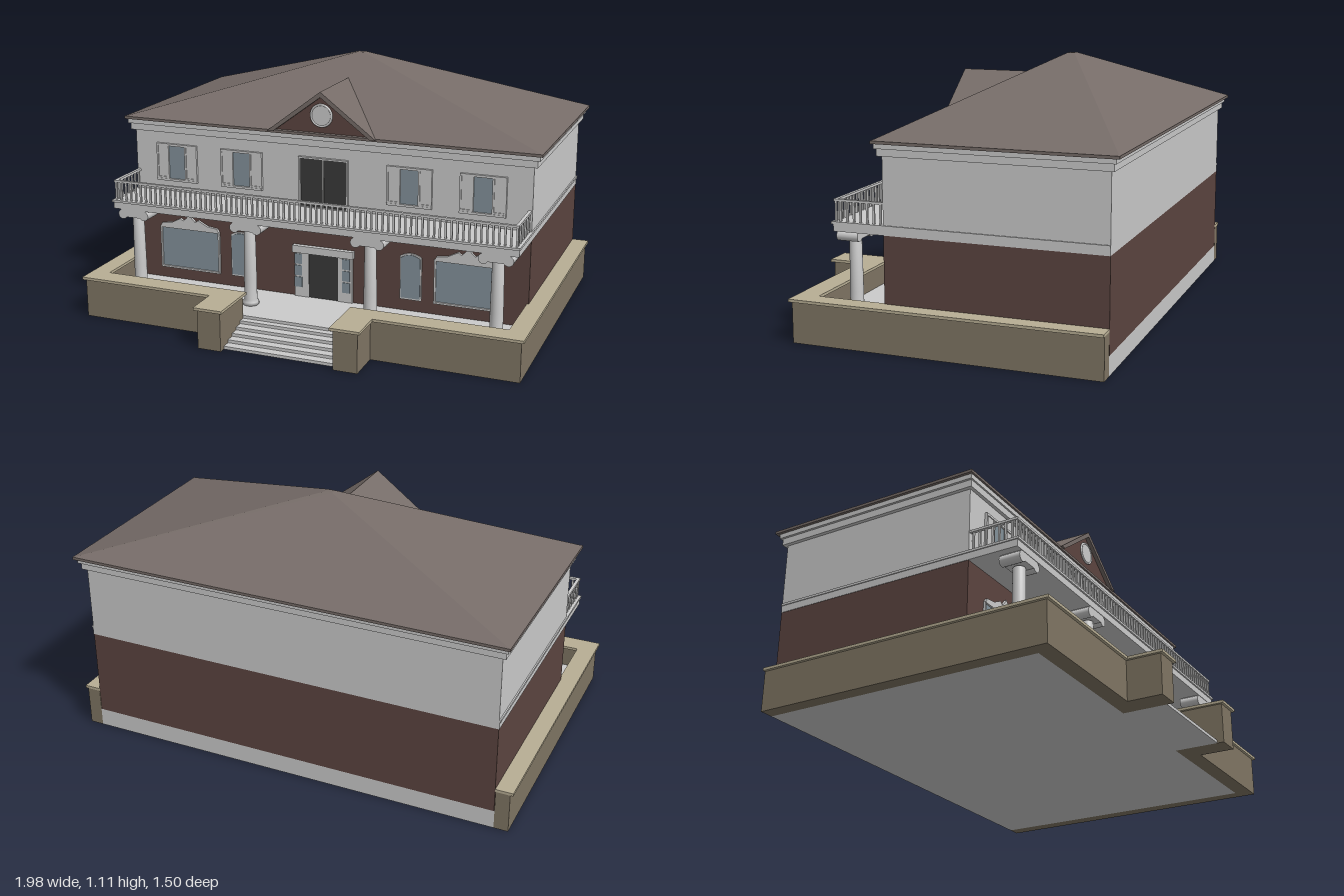
import * as THREE from 'three';

const mat = (color) => new THREE.MeshStandardMaterial({ color });
const M = {
  wall: mat(0xcccccc), brick: mat(0x5c4540), roof: mat(0x766c68), stone: mat(0x807664),
  cap: mat(0xb8ae94), glass: mat(0x84929b), dark: mat(0x3a3a3a), steel: mat(0x8a8a88),
};

function add(parent, name, geometry, material) {
  const mesh = new THREE.Mesh(geometry, material);
  mesh.name = name;
  parent.add(mesh);
  return mesh;
}

// Box given by its limits on each axis
function block(parent, name, material, x0, x1, y0, y1, z0, z1) {
  const g = new THREE.BoxGeometry(x1 - x0, y1 - y0, z1 - z0);
  g.translate((x0 + x1) / 2, (y0 + y1) / 2, (z0 + z1) / 2);
  return add(parent, name, g, material);
}

// Flat outline extruded along z
function plate(parent, name, material, shape, z0, z1) {
  const g = new THREE.ExtrudeGeometry(shape, { depth: z1 - z0, bevelEnabled: false, curveSegments: 10 });
  g.translate(0, 0, z0);
  return add(parent, name, g, material);
}

const polygon = (pts) => new THREE.Shape(pts.map(([x, y]) => new THREE.Vector2(x, y)));

function group(parent, name, x = 0, y = 0, z = 0) {
  const g = new THREE.Group();
  g.name = name;
  g.position.set(x, y, z);
  parent.add(g);
  return g;
}

// Rectangular frame made of four bars
function frame(parent, name, x0, x1, y0, y1, z0, z1, t) {
  const s = polygon([[x0, y0], [x1, y0], [x1, y1], [x0, y1]]);
  s.holes.push(polygon([[x0 + t, y0 + t], [x0 + t, y1 - t], [x1 - t, y1 - t], [x1 - t, y0 + t]]));
  plate(parent, name, M.wall, s, z0, z1);
}

const FRONT = 0.21, BACK = -0.71;

function buildColumn(root, x) {
  const c = group(root, 'column', x, 0, 0.38);
  const profile = [[0, 0.08], [0.036, 0.08], [0.036, 0.095], [0.028, 0.105], [0.028, 0.2], [0.025, 0.42], [0, 0.42]];
  add(c, 'shaft', new THREE.LatheGeometry(profile.map(([r, y]) => new THREE.Vector2(r, y)), 24), M.wall);
  block(c, 'capital', M.wall, -0.06, 0.06, 0.425, 0.46, -0.046, 0.046);
  for (const s of [-1, 1]) {
    const v = new THREE.CylinderGeometry(0.022, 0.022, 0.092, 20).rotateX(Math.PI / 2);
    add(c, 'volute', v.translate(s * 0.052, 0.437, 0), M.wall);
  }
}

function buildBalustrade(root) {
  const b = group(root, 'balustrade');
  block(b, 'frontRail', M.wall, -0.915, 0.915, 0.58, 0.59, 0.412, 0.426);
  const n = 74;
  for (let i = 0; i <= n; i++) {
    const x = -0.908 + (1.816 * i) / n;
    block(b, 'baluster', M.wall, x - 0.004, x + 0.004, 0.495, 0.582, 0.415, 0.423);
  }
  for (const s of [-1, 1]) {
    const x = s * 0.908;
    block(b, 'sideRail', M.wall, x - 0.007, x + 0.007, 0.58, 0.59, FRONT, 0.42);
    for (let i = 0; i < 7; i++) {
      const z = 0.225 + i * 0.029;
      block(b, 'baluster', M.wall, x - 0.004, x + 0.004, 0.495, 0.582, z - 0.004, z + 0.004);
    }
  }
}

function buildUpperWindow(root, x) {
  const w = group(root, 'upperWindow', x, 0, FRONT);
  block(w, 'pane', M.glass, -0.04, 0.04, 0.56, 0.715, 0, 0.004);
  for (const s of [-1, 1]) {
    const g = group(w, 'shutter', s * 0.07, 0, 0);
    block(g, 'leaf', M.wall, -0.03, 0.03, 0.56, 0.72, 0, 0.008);
    frame(g, 'leafFrame', -0.03, 0.03, 0.56, 0.72, 0.008, 0.012, 0.008);
  }
  block(w, 'lintel', M.wall, -0.1, 0.1, 0.712, 0.722, 0, 0.012);
  block(w, 'sill', M.wall, -0.1, 0.1, 0.55, 0.56, 0, 0.014);
}

function buildLowerWindows(root, s) {
  // Wide window with a swept crest
  const w = group(root, 'wideWindow', s * 0.657, 0, FRONT);
  block(w, 'pane', M.glass, -0.145, 0.145, 0.14, 0.33, 0, 0.004);
  block(w, 'sill', M.wall, -0.15, 0.15, 0.132, 0.14, 0, 0.012);
  for (const k of [-1, 1]) block(w, 'jamb', M.wall, k * 0.146 - 0.004, k * 0.146 + 0.004, 0.14, 0.33, 0, 0.01);
  const half = [[0.15, 0.325], [0.14, 0.345], [0.09, 0.352], [0.045, 0.375], [0.03, 0.365], [0.014, 0.38]];
  const crest = [...half, [0, 0.4], ...half.map(([x, y]) => [-x, y]).reverse()];
  plate(w, 'crest', M.wall, polygon([...crest, [-0.12, 0.325], [0.12, 0.325]]), 0, 0.012);

  // Narrow window with an arched head
  const n = group(root, 'narrowWindow', s * 0.402, 0, FRONT);
  const arch = (r, bottom, spring, rise) => {
    const a = new THREE.Shape();
    a.moveTo(-r, bottom);
    a.lineTo(r, bottom);
    a.lineTo(r, spring);
    a.quadraticCurveTo(0, spring + rise, -r, spring);
    return a;
  };
  plate(n, 'surround', M.wall, arch(0.048, 0.132, 0.328, 0.03), 0, 0.006);
  plate(n, 'pane', M.glass, arch(0.043, 0.14, 0.322, 0.03), 0.004, 0.009);
}

function buildEntrance(root) {
  const e = group(root, 'entrance', 0, 0, FRONT);
  block(e, 'door', M.dark, -0.07, 0.07, 0.08, 0.287, 0, 0.006);
  block(e, 'lintel', M.wall, -0.143, 0.143, 0.287, 0.32, 0, 0.022);
  for (const s of [-1, 1]) {
    const g = group(e, 'sidelight', s * 0.103, 0, 0);
    block(g, 'panel', M.wall, -0.033, 0.033, 0.08, 0.287, 0, 0.01);
    for (let i = 0; i < 3; i++) block(g, 'pane', M.glass, -0.006 + s * 0.01 - 0.018, 0.012 + s * 0.01, 0.125 + i * 0.054, 0.172 + i * 0.054, 0.009, 0.013);
  }
  const b = group(root, 'balconyDoor', 0, 0, FRONT);
  frame(b, 'doorFrame', -0.115, 0.115, 0.495, 0.725, 0, 0.014, 0.008);
  for (const s of [-1, 1]) block(b, 'doorLeaf', M.dark, s * 0.054 - 0.051, s * 0.054 + 0.051, 0.5, 0.717, 0, 0.008);
  block(b, 'mullion', M.steel, -0.003, 0.003, 0.5, 0.717, 0, 0.011);
}

function buildRoof(root) {
  const r = group(root, 'roof');
  block(r, 'lowerCornice', M.wall, -0.935, 0.935, 0.775, 0.81, -0.725, 0.225);
  block(r, 'upperCornice', M.wall, -0.945, 0.945, 0.805, 0.827, -0.735, 0.232);
  block(r, 'eaves', M.roof, -0.957, 0.957, 0.825, 0.837, -0.75, 0.24);

  // Hipped roof: a box with its top drawn in to a small flat
  const g = new THREE.BoxGeometry(1.914, 0.275, 0.99).toNonIndexed();
  const p = g.attributes.position;
  for (let i = 0; i < p.count; i++) {
    if (p.getY(i) > 0) p.setXYZ(i, Math.sign(p.getX(i)) * 0.018, p.getY(i), Math.sign(p.getZ(i)) * 0.015);
  }
  g.computeVertexNormals();
  add(r, 'hippedRoof', g.translate(0, 0.9735, -0.255), M.roof);

  // Front gable with a round window
  const d = group(r, 'gable');
  plate(d, 'gableRoof', M.roof, polygon([[-0.25, 0.833], [-0.222, 0.833], [0, 0.998], [0.222, 0.833], [0.25, 0.833], [0, 1.022]]), -0.09, 0.25);
  plate(d, 'gableWall', M.brick, polygon([[-0.23, 0.833], [0.23, 0.833], [0, 1.004]]), 0.1, 0.232);
  const disc = new THREE.CylinderGeometry(0.046, 0.046, 0.01, 28).rotateX(Math.PI / 2);
  add(d, 'roundWindow', disc.translate(0, 0.917, 0.233), M.wall);
  add(d, 'roundWindowFrame', new THREE.TorusGeometry(0.047, 0.005, 8, 32).translate(0, 0.917, 0.236), M.wall);
}

function buildGrounds(root) {
  const g = group(root, 'grounds');
  block(g, 'terrace', M.wall, -0.92, 0.92, 0, 0.08, BACK, 0.52);
  for (let i = 0; i < 5; i++) block(g, 'step', M.wall, -0.25, 0.25, 0, 0.067 - i * 0.0134, 0.5, 0.55 + i * 0.04);

  // Garden wall with an overhanging cap, mirrored about the steps
  const outline = (o, i) => [[0.25 - o, 0.52 - o], [0.92 - i, 0.52 - o], [0.92 - i, BACK], [0.98 + o, BACK],
    [0.98 + o, 0.59 + o], [0.355 + o, 0.59 + o], [0.355 + o, 0.74 + o], [0.25 - o, 0.74 + o]];
  for (const s of [-1, 1]) {
    const layer = (name, material, o, i, y0, y1) => {
      const shape = polygon(outline(o, i).map(([x, z]) => [s * x, -z]));
      const geo = new THREE.ExtrudeGeometry(shape, { depth: y1 - y0, bevelEnabled: false });
      add(g, name, geo.rotateX(-Math.PI / 2).translate(0, y0, 0), material);
    };
    layer('gardenWall', M.stone, 0, 0, 0, 0.172);
    layer('gardenWallCap', M.cap, 0.012, 0.01, 0.172, 0.184);
  }
}

export function createModel() {
  const root = new THREE.Group();
  root.name = 'house';
  buildGrounds(root);
  block(root, 'groundFloor', M.brick, -0.918, 0.918, 0.08, 0.46, BACK, FRONT);
  block(root, 'balconySlab', M.wall, -0.92, 0.92, 0.46, 0.492, BACK, 0.428);
  block(root, 'slabEdge', M.wall, -0.924, 0.924, 0.49, 0.5, BACK, 0.435);
  block(root, 'upperFloor', M.wall, -0.918, 0.918, 0.5, 0.78, BACK, FRONT);
  buildRoof(root);
  buildBalustrade(root);
  buildEntrance(root);
  for (const x of [-0.825, -0.278, 0.278, 0.825]) buildColumn(root, x);
  for (const s of [-1, 1]) {
    buildLowerWindows(root, s);
    for (const x of [0.39, 0.71]) buildUpperWindow(root, s * x);
  }
  return root;
}
